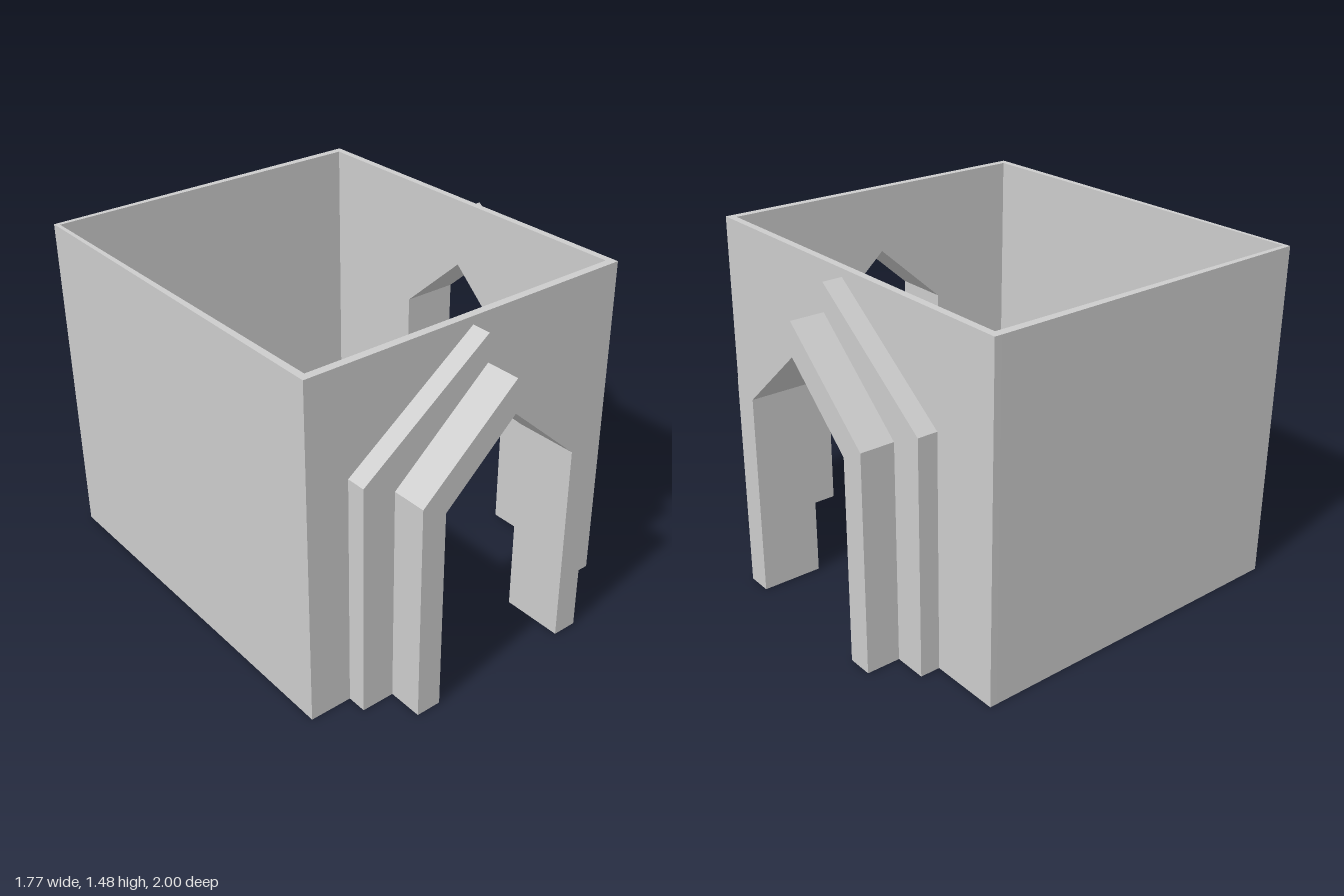
import * as THREE from 'three';

const HEIGHT = 1.48;
const material = new THREE.MeshStandardMaterial({ color: 0xcccccc, flatShading: true });

// Upright slab whose outline runs around a pointed doorway open at the ground
function doorwaySlab(name, outerOutline, z, depth) {
  const doorway = [[0.325, 0], [0.325, 0.89], [0, 1.18], [-0.325, 0.89], [-0.325, 0]];
  const shape = new THREE.Shape([...outerOutline, ...doorway].map(([x, y]) => new THREE.Vector2(x, y)));
  const geometry = new THREE.ExtrudeGeometry(shape, { depth, bevelEnabled: false });
  geometry.translate(0, 0, z);
  const mesh = new THREE.Mesh(geometry, material);
  mesh.name = name;
  return mesh;
}

// Gabled outline from bottom left to bottom right
const gable = (half, shoulder, apex) =>
  [[-half, 0], [-half, shoulder], [0, apex], [half, shoulder], [half, 0]];

// Wall with a two-step pointed portal; local z = 0 is the wall's outer face
function portalWall(name, left, right, thickness, stepDepth, porchDepth) {
  const group = new THREE.Group();
  group.name = name;
  group.add(
    doorwaySlab('piercedWall', [[left, 0], [left, HEIGHT], [right, HEIGHT], [right, 0]], -thickness, thickness),
    doorwaySlab('outerArch', gable(0.58, 1.02, 1.445), 0, stepDepth),
    doorwaySlab('innerArch', gable(0.435, 0.95, 1.325), stepDepth, porchDepth),
  );
  return group;
}

// Plain wall raised from a floor plan of [x, z] corners
function planWall(name, plan) {
  const shape = new THREE.Shape(plan.map(([x, z]) => new THREE.Vector2(x, -z)));
  const geometry = new THREE.ExtrudeGeometry(shape, { depth: HEIGHT, bevelEnabled: false });
  geometry.rotateX(-Math.PI / 2);
  const mesh = new THREE.Mesh(geometry, material);
  mesh.name = name;
  return mesh;
}

export function createModel() {
  const model = new THREE.Group();
  model.name = 'rooflessHall';

  // Front portal
  const front = portalWall('frontPortalWall', -0.765, 0.775, 0.035, 0.085, 0.152);
  front.position.set(-0.125, 0, 0.763);
  model.add(front);

  // Side portal, turned to face +x
  const side = portalWall('sidePortalWall', -0.838, 0.89, 0.032, 0.087, 0.148);
  side.rotation.y = Math.PI / 2;
  side.position.set(0.65, 0, -0.11);
  model.add(side);

  // Slightly out-of-square plain walls
  model.add(
    planWall('plainSideWall', [[-0.89, 0.728], [-0.858, 0.728], [-0.863, -0.963], [-0.88, -0.984]]),
    planWall('backWall', [[-0.88, -0.984], [-0.863, -0.963], [0.618, -0.963], [0.618, -1]]),
  );
  return model;
}
